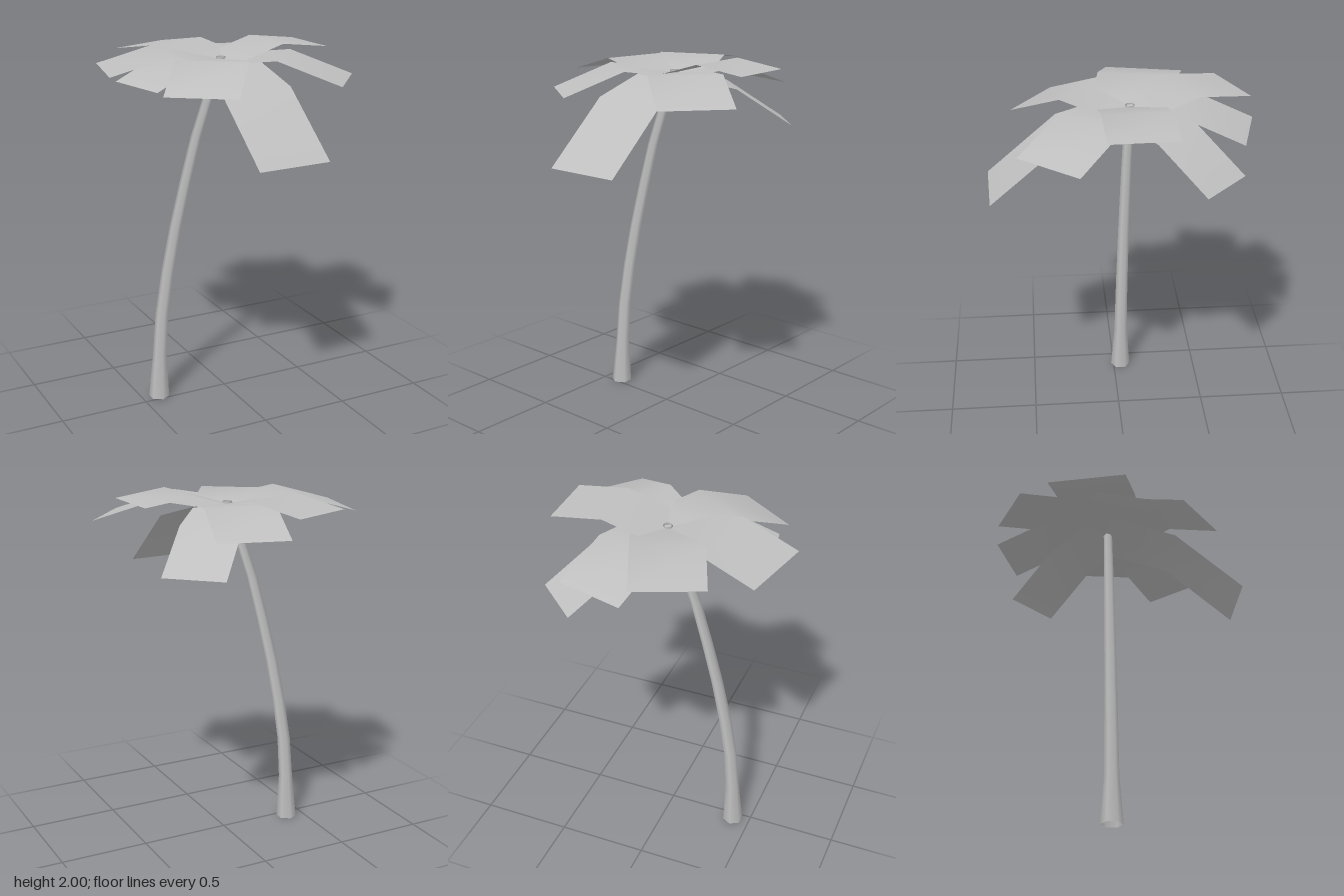
import * as THREE from 'three';

const foliage = new THREE.MeshStandardMaterial({ color: 0xbfbfbf, side: THREE.DoubleSide });
foliage.name = 'plain grey';

const CROWN = new THREE.Vector3(0.01, 1.915, -0.06);

// Curved, tapering six-sided trunk, open at both ends
function makeTrunk() {
  // centre x, height, radius of each ring, from top to bottom
  const rings = [
    [0.01, 1.93, 0.025], [-0.07, 1.72, 0.026], [-0.148, 1.5, 0.028],
    [-0.217, 1.25, 0.03], [-0.28, 1.0, 0.032], [-0.332, 0.75, 0.034],
    [-0.372, 0.5, 0.036], [-0.39, 0.26, 0.039], [-0.4, 0, 0.058],
  ];
  const geo = new THREE.CylinderGeometry(1, 1, 1, 6, rings.length - 1, true);
  const pos = geo.attributes.position;
  for (let i = 0; i < pos.count; i++) {
    const [x, y, r] = rings[Math.floor(i / 7)];
    const z = -0.042 - 0.016 * (y / 1.93);
    const a = ((i % 7) / 6) * Math.PI * 2;
    pos.setXYZ(i, x + Math.sin(a) * r, y, z + Math.cos(a) * r);
  }
  // normals point out from each ring centre, so the seam stays smooth
  const nor = geo.attributes.normal;
  for (let i = 0; i < nor.count; i++) {
    const a = ((i % 7) / 6) * Math.PI * 2;
    nor.setXYZ(i, Math.sin(a), 0.05, Math.cos(a));
  }
  const trunk = new THREE.Mesh(geo, foliage);
  trunk.name = 'trunk';
  return trunk;
}

// Rectangular leaf from the crown centre, with one bend halfway
function makeLeaf([tipX, tipZ, width, bendY, tipY], index) {
  const geo = new THREE.PlaneGeometry(1, 1, 1, 2);
  const pos = geo.attributes.position;
  const dx = tipX - CROWN.x, dz = tipZ - CROWN.z;
  const len = Math.hypot(dx, dz);
  const heights = [tipY, bendY, CROWN.y];
  for (let i = 0; i < pos.count; i++) {
    const row = Math.floor(i / 2);
    const t = 1 - row / 2;
    const s = (i % 2 ? 0.5 : -0.5) * width;
    pos.setXYZ(i, CROWN.x + dx * t - (dz / len) * s, heights[row], CROWN.z + dz * t + (dx / len) * s);
  }
  geo.computeVertexNormals();
  const leaf = new THREE.Mesh(geo, foliage);
  leaf.name = 'leaf' + (index + 1);
  return leaf;
}

export function createModel() {
  const model = new THREE.Group();
  model.name = 'palmTree';
  model.add(makeTrunk());

  // tip x, tip z, width, bend height, tip height
  const leaves = [
    [0.578, -0.08, 0.36, 2.0, 1.965],
    [-0.228, -0.635, 0.376, 1.98, 1.93],
    [-0.622, -0.193, 0.435, 1.975, 1.885],
    [-0.36, 0.457, 0.383, 1.955, 1.83],
    [0.537, 0.385, 0.394, 1.95, 1.83],
    [0.043, 0.697, 0.415, 1.81, 1.49],
    [0.172, -0.662, 0.377, 1.95, 1.83],
    [0.432, -0.515, 0.335, 1.845, 1.64],
    [-0.535, 0.05, 0.38, 1.945, 1.83],
  ];
  const crown = new THREE.Group();
  crown.name = 'crown';
  leaves.forEach((l, i) => crown.add(makeLeaf(l, i)));
  model.add(crown);
  return model;
}
